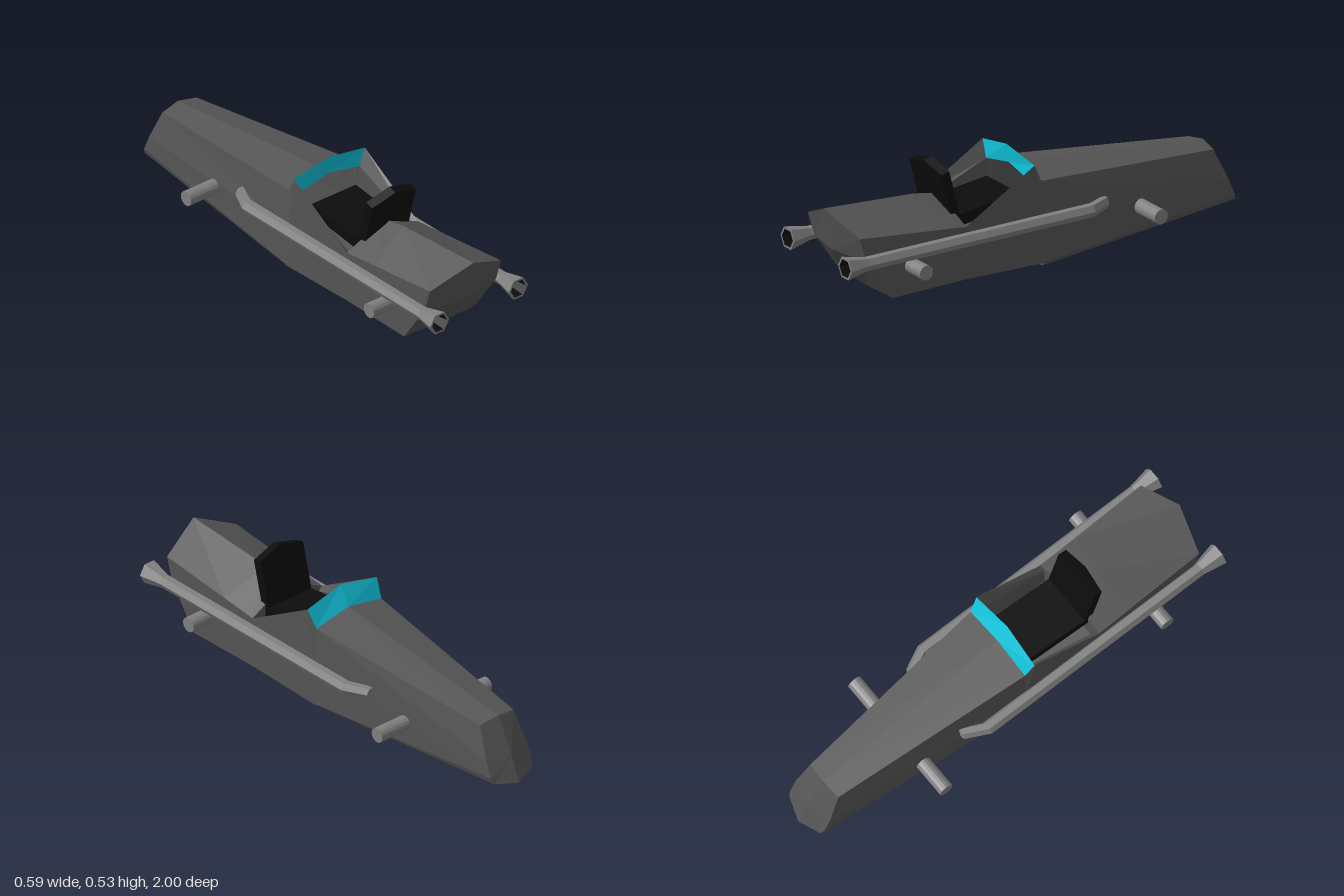
import * as THREE from 'three';

const mat = (color) => new THREE.MeshStandardMaterial({ color, flatShading: true, side: THREE.DoubleSide });

// Skin rows of [x,y,z] points, one row to the next
function loft(rows, closed = false) {
  const pos = [];
  for (let r = 0; r + 1 < rows.length; r++) {
    const n = rows[r].length;
    for (let i = 0; i < (closed ? n : n - 1); i++) {
      const j = (i + 1) % n;
      const [a, b, c, d] = [rows[r][i], rows[r][j], rows[r + 1][j], rows[r + 1][i]];
      pos.push(...a, ...b, ...c, ...a, ...c, ...d);
    }
  }
  const g = new THREE.BufferGeometry();
  g.setAttribute('position', new THREE.Float32BufferAttribute(pos, 3));
  g.computeVertexNormals();
  return g;
}

const flip = ([x, y, z]) => [-x, y, z];
// Half row ending on the centre line, continued on the other side
const over = (row) => [...row, ...row.slice(0, -1).reverse().map(flip)];
// Half row starting and ending on the centre line, made a full ring
const ring = (row) => [...row, ...row.slice(1, -1).reverse().map(flip)];
// Centre point and side point made a row from right to left
const span = (centre, side) => [flip(side), centre, side];

export function createModel() {
  const group = new THREE.Group();
  const body = mat(0x555555), black = mat(0x0c0c0c), metal = mat(0x808080), glass = mat(0x10c0d8);
  const add = (name, geo, material, parent = group) => {
    const m = new THREE.Mesh(geo, material);
    m.name = name;
    parent.add(m);
    return m;
  };

  // Tapered front hull with faceted nose
  const hullBack = [[0, 0.42, 0.03], [0.175, 0.385, 0.03], [0.187, 0.2, 0.03], [0.187, 0.04, 0.02], [0.17, 0.018, 0.02], [0, 0, 0.02]];
  const hullNose = [[0, 0.32, -0.87], [0.09, 0.305, -0.86], [0.11, 0.17, -0.92], [0.11, 0.1, -0.95], [0.1, 0.075, -0.96], [0, 0.06, -0.995]];
  const noseTip = hullNose.map(() => [0, 0.17, -0.95]);
  add('frontHull', loft([hullBack, hullNose, noseTip].map(ring), true), body);
  // Step under the hull
  add('hullStep', loft([over(hullBack.slice(3)), over([[0.187, 0.04, 0.02], [0.17, 0.04, 0.02], [0, 0.04, 0.02]])]), body);

  // Rear tub sides and underside
  const cowl = [0.187, 0.463, 0.07], sill = [0.187, 0.27, 0.4], tailEdge = [0.187, 0.325, 0.915];
  add('rearTub', loft([
    [tailEdge, [0.187, 0.225, 0.885], [0.187, 0.04, 0.755], [0, 0.042, 0.765]],
    [sill, [0.187, 0.2, 0.4], [0.187, 0.045, 0.4], [0, 0.045, 0.4]],
    [cowl, [0.187, 0.2, 0.03], [0.187, 0.035, 0.02], [0, 0.033, 0.02]],
  ].map(over)), body);

  // Ridged rear deck and tail face
  const ridge = [0, 0.41, 0.965];
  add('rearDeck', loft([
    span(ridge, tailEdge),
    span([0, 0.382, 0.53], [0.187, 0.288, 0.57]),
    span([0, 0.36, 0.41], sill),
  ]), body);
  add('tailFace', loft([
    span([0, 0.042, 0.765], [0.187, 0.04, 0.755]),
    span([0, 0.225, 0.925], [0.187, 0.225, 0.885]),
    span(ridge, tailEdge),
  ]), body);

  // Cockpit lining, rear wall and cowl cheeks
  const inner = [0.155, 0.39, 0.075];
  add('cockpitLining', loft([
    [cowl, inner, [0.16, 0.15, 0.03], [0, 0.15, 0.03]],
    [sill, [0.165, 0.25, 0.4], [0.16, 0.15, 0.4], [0, 0.15, 0.4]],
  ].map(over)), body);
  add('cockpitRearWall', loft([
    span([0, 0.36, 0.41], sill),
    span([0, 0.15, 0.4], [0.187, 0.15, 0.4]),
  ]), body);
  for (const s of [1, -1]) {
    const tri = [hullBack[1], cowl, hullBack[2]].map(([x, y, z]) => [x * s, y, z]);
    add('cowlCheek', loft([[tri[0], tri[1]], [tri[2], tri[2]]]), body);
  }

  // Windscreen band: inner face up to the crest, then down outside
  add('windscreen', loft([
    span([0, 0.42, 0.07], inner),
    span([0, 0.5, 0.08], cowl),
    span(hullBack[0], hullBack[1]),
  ]), glass);

  // Seat with peaked back
  const seat = new THREE.Group();
  seat.name = 'seat';
  group.add(seat);
  const shape = new THREE.Shape([[-0.115, 0], [0.115, 0], [0.115, 0.238], [0, 0.272], [-0.115, 0.238]].map((p) => new THREE.Vector2(...p)));
  const back = add('seatBack', new THREE.ExtrudeGeometry(shape, { depth: 0.04, bevelEnabled: false }), black, seat);
  back.position.set(0, 0.262, 0.375);
  back.rotation.x = 0.25;
  const cushion = add('seatCushion', new THREE.BoxGeometry(0.23, 0.05, 0.32), black, seat);
  cushion.position.set(0, 0.287, 0.255);
  cushion.rotation.x = 0.12;

  // Six-sided exhaust pipes, flared at the tail and bent into the hull
  const hex = (x, z, r) => Array.from({ length: 6 }, (_, i) => {
    const a = i * Math.PI / 3;
    return [x + r * Math.cos(a), 0.224 + r * Math.sin(a), z];
  });
  for (const s of [1, -1]) {
    const pipe = new THREE.Group();
    pipe.name = s > 0 ? 'leftExhaust' : 'rightExhaust';
    group.add(pipe);
    const rows = [[0.207, 1, 0.04], [0.207, 1, 0.05], [0.21, 0.9, 0.029], [0.21, -0.19, 0.029], [0.162, -0.29, 0.027], [0.162, -0.29, 0]]
      .map(([x, z, r]) => hex(x * s, z, r));
    add('pipe', loft(rows, true), metal, pipe);
    add('pipeBore', loft([hex(0.21 * s, 0.9, 0), hex(0.21 * s, 0.9, 0.022), hex(0.207 * s, 1, 0.04)], true), black, pipe);
  }

  // Axle bars across the hull
  for (const [name, z] of [['rearAxle', 0.665], ['frontAxle', -0.47]]) {
    const axle = add(name, new THREE.CylinderGeometry(0.032, 0.032, 0.592, 16), metal);
    axle.rotation.z = Math.PI / 2;
    axle.position.set(0, 0.162, z);
  }
  return group;
}
